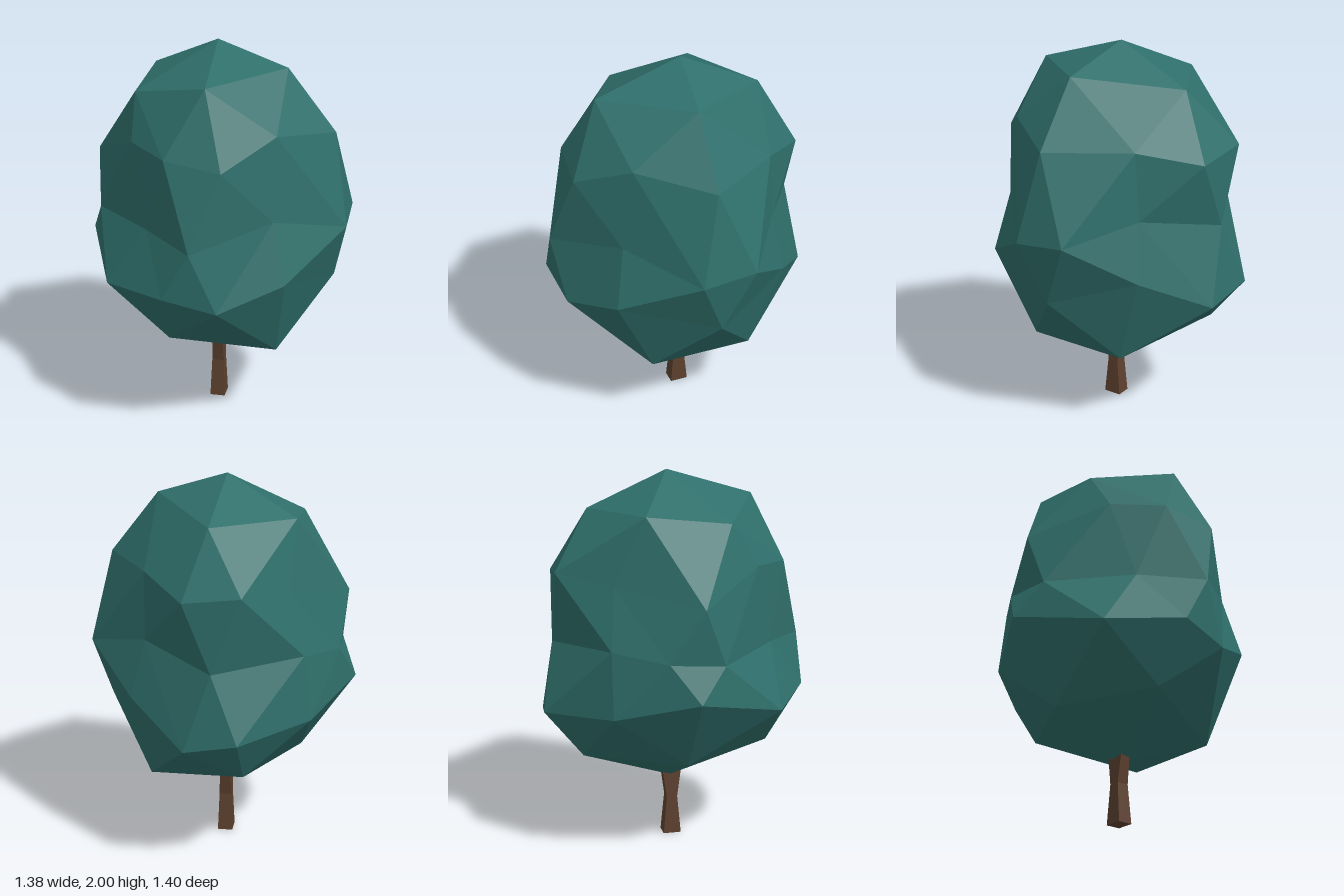
import * as THREE from 'three';

// Crown cross-sections, each a loop of [x, y, z] running from +x towards +z.
const LOW_RING = [[.36, .43, .28], [-.16, .55, .49], [-.41, .53, 0], [-.16, .54, -.5], [.36, .43, -.27]];
const LOWER = [
  [.43, .89, .49], [.12, .78, .66], [-.15, .85, .69], [-.49, .82, .47], [-.69, .94, 0],
  [-.49, .83, -.4], [-.155, .79, -.7], [.12, .73, -.67], [.43, .91, -.42], [.62, .77, 0],
];
const MIDDLE = [
  [.69, 1.09, .13], [.36, 1.2, .43], [-.01, 1.1, .7], [-.28, 1.13, .47], [-.61, 1.11, .14],
  [-.61, 1.13, -.14], [-.45, 1.17, -.4], [-.015, 1.13, -.63], [.36, 1.21, -.38], [.69, 1.12, -.15],
];
const UPPER = [
  [.61, 1.56, .03], [.36, 1.62, .37], [.13, 1.49, .6], [-.16, 1.53, .57], [-.37, 1.55, .37],
  [-.64, 1.4, .03], [-.37, 1.48, -.37], [-.165, 1.52, -.63], [.13, 1.48, -.61], [.36, 1.56, -.355],
];
const TOP_RING = [[.36, 1.88, .03], [.02, 1.86, .44], [-.385, 1.77, .225], [-.385, 1.82, -.21], [.025, 1.81, -.43]];

function crownGeometry() {
  const positions = [];
  const tri = (a, b, c) => positions.push(...a, ...b, ...c);
  const at = (ring, i) => ring[(i + ring.length) % ring.length];

  // Closes a ten-point loop through a five-point ring to a single tip.
  const cap = (tip, ring, loop, add) => {
    for (let k = 0; k < 5; k++) {
      const a = ring[k], b = at(ring, k + 1);
      add(a, at(loop, 2 * k - 1), at(loop, 2 * k));
      add(a, at(loop, 2 * k), at(loop, 2 * k + 1));
      add(a, at(loop, 2 * k + 1), b);
      add(tip, a, b);
    }
  };
  cap([0, .33, 0], LOW_RING, LOWER, tri);
  cap([-.01, 2, -.02], TOP_RING, UPPER, (a, b, c) => tri(a, c, b));

  // Zigzag bands either side of the middle loop.
  for (let j = 0; j < 10; j++) {
    tri(LOWER[j], MIDDLE[j], at(MIDDLE, j + 1));
    tri(LOWER[j], at(MIDDLE, j + 1), at(LOWER, j + 1));
    tri(at(MIDDLE, j - 1), UPPER[j], MIDDLE[j]);
    tri(UPPER[j], at(UPPER, j + 1), MIDDLE[j]);
  }
  const geometry = new THREE.BufferGeometry();
  geometry.setAttribute('position', new THREE.Float32BufferAttribute(positions, 3));
  geometry.computeVertexNormals();
  return geometry;
}

// Square post, pinched at the waist and flaring again under the crown.
function trunkGeometry() {
  const geometry = new THREE.BoxGeometry(2, .4, 2, 1, 2, 1).translate(0, .2, 0);
  const halfWidth = [.04, .033, .028];
  const halfDepth = [.048, .029, .05];
  const p = geometry.attributes.position;
  for (let i = 0; i < p.count; i++) {
    const level = Math.round(p.getY(i) / .2);
    p.setXYZ(i, p.getX(i) * halfWidth[level], [0, .21, .36][level], p.getZ(i) * halfDepth[level] + .005);
  }
  geometry.computeVertexNormals();
  return geometry;
}

export function createModel() {
  const tree = new THREE.Group();
  tree.name = 'tree';
  const addPart = (name, geometry, color) => {
    const mesh = new THREE.Mesh(geometry, new THREE.MeshStandardMaterial({ color, flatShading: true }));
    mesh.name = name;
    tree.add(mesh);
  };
  addPart('crown', crownGeometry(), 0x2f6f6b);
  addPart('trunk', trunkGeometry(), 0x5c402e);
  return tree;
}
